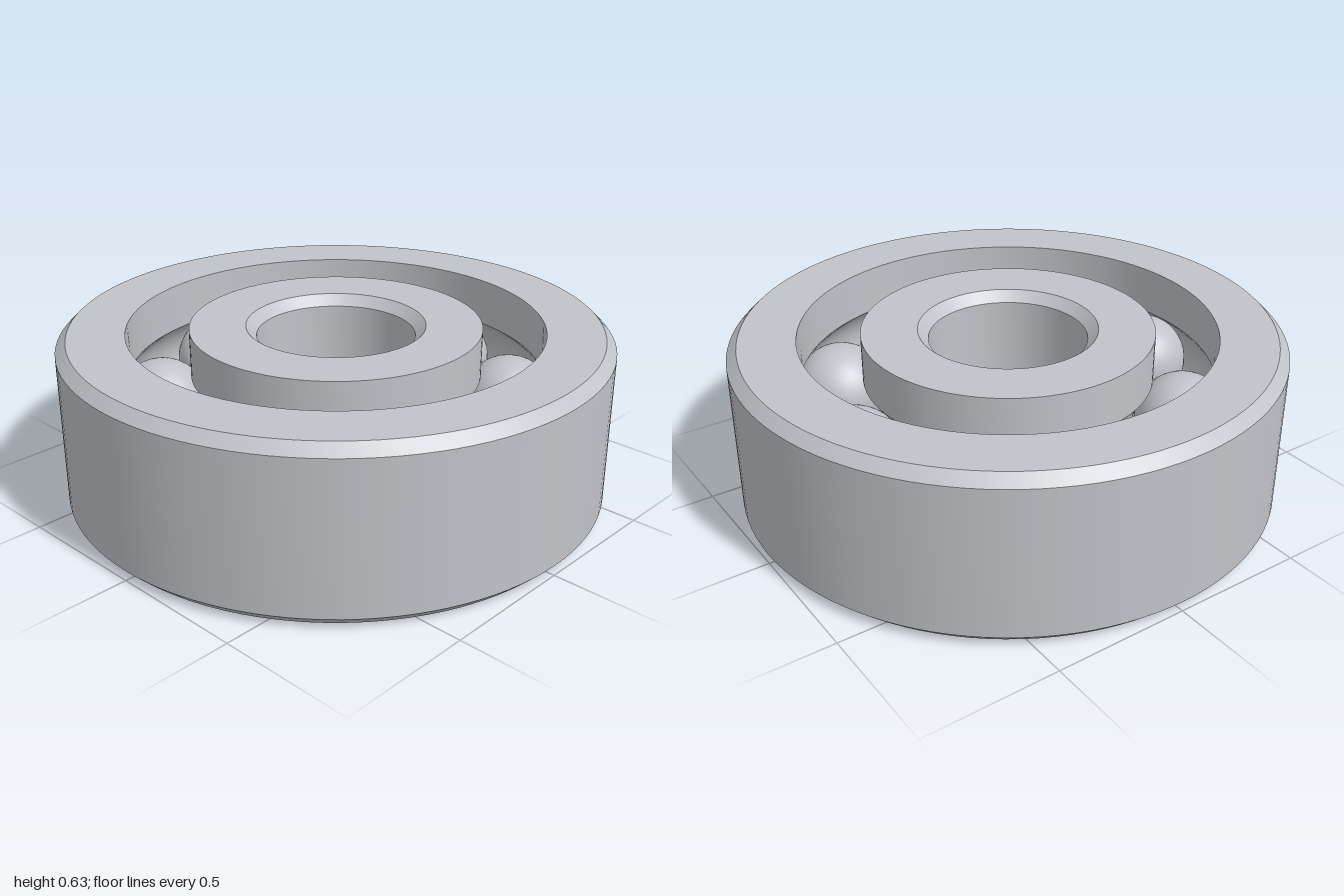
import * as THREE from 'three';
import { toCreasedNormals } from 'three/addons/utils/BufferGeometryUtils.js';

const HEIGHT = 0.63, MID = HEIGHT / 2;
const CHAMFER = 0.038;
const OUTER_R = 1, OUTER_BORE = 0.755;
const INNER_R = 0.53, INNER_BORE = 0.288;
const PITCH_R = 0.643, BALL_R = 0.174, GROOVE_R = 0.177;
const BALLS = 8;

// Points of the ball groove, from one angle to another
function groove(from, to, steps = 14) {
  return Array.from({ length: steps + 1 }, (_, i) => {
    const t = from + (to - from) * i / steps;
    return [PITCH_R + GROOVE_R * Math.cos(t), MID + GROOVE_R * Math.sin(t)];
  });
}

// Closed ring turned from a counter-clockwise (radius, height) outline
function turnedRing(name, outline, material) {
  const points = [...outline, outline[0]].map(([r, y]) => new THREE.Vector2(r, y));
  const mesh = new THREE.Mesh(toCreasedNormals(new THREE.LatheGeometry(points, 112), 0.5), material);
  mesh.name = name;
  return mesh;
}

export function createModel() {
  const model = new THREE.Group();
  model.name = 'ballBearing';

  const steel = new THREE.MeshStandardMaterial({ color: 0xc0c3c8 });
  steel.name = 'steel';

  // Outer ring: chamfered outside, grooved inside
  const a = Math.acos((OUTER_BORE - PITCH_R) / GROOVE_R);
  model.add(turnedRing('outerRing', [
    [OUTER_BORE, 0],
    [OUTER_R - CHAMFER, 0], [OUTER_R, CHAMFER],
    [OUTER_R, HEIGHT - CHAMFER], [OUTER_R - CHAMFER, HEIGHT],
    [OUTER_BORE, HEIGHT],
    ...groove(a, -a),
  ], steel));

  // Inner ring: grooved outside, chamfered bore
  const b = Math.acos((PITCH_R - INNER_R) / GROOVE_R);
  model.add(turnedRing('innerRing', [
    [INNER_BORE + CHAMFER, 0],
    [INNER_R, 0],
    ...groove(Math.PI + b, Math.PI - b),
    [INNER_R, HEIGHT],
    [INNER_BORE + CHAMFER, HEIGHT], [INNER_BORE, HEIGHT - CHAMFER],
    [INNER_BORE, CHAMFER],
  ], steel));

  // Balls evenly spaced in the race
  const balls = new THREE.Group();
  balls.name = 'balls';
  const ballGeometry = new THREE.SphereGeometry(BALL_R, 40, 24);
  for (let i = 0; i < BALLS; i++) {
    const t = i / BALLS * Math.PI * 2;
    const ball = new THREE.Mesh(ballGeometry, steel);
    ball.name = 'ball' + (i + 1);
    ball.position.set(PITCH_R * Math.cos(t), MID, PITCH_R * Math.sin(t));
    balls.add(ball);
  }
  model.add(balls);

  return model;
}
